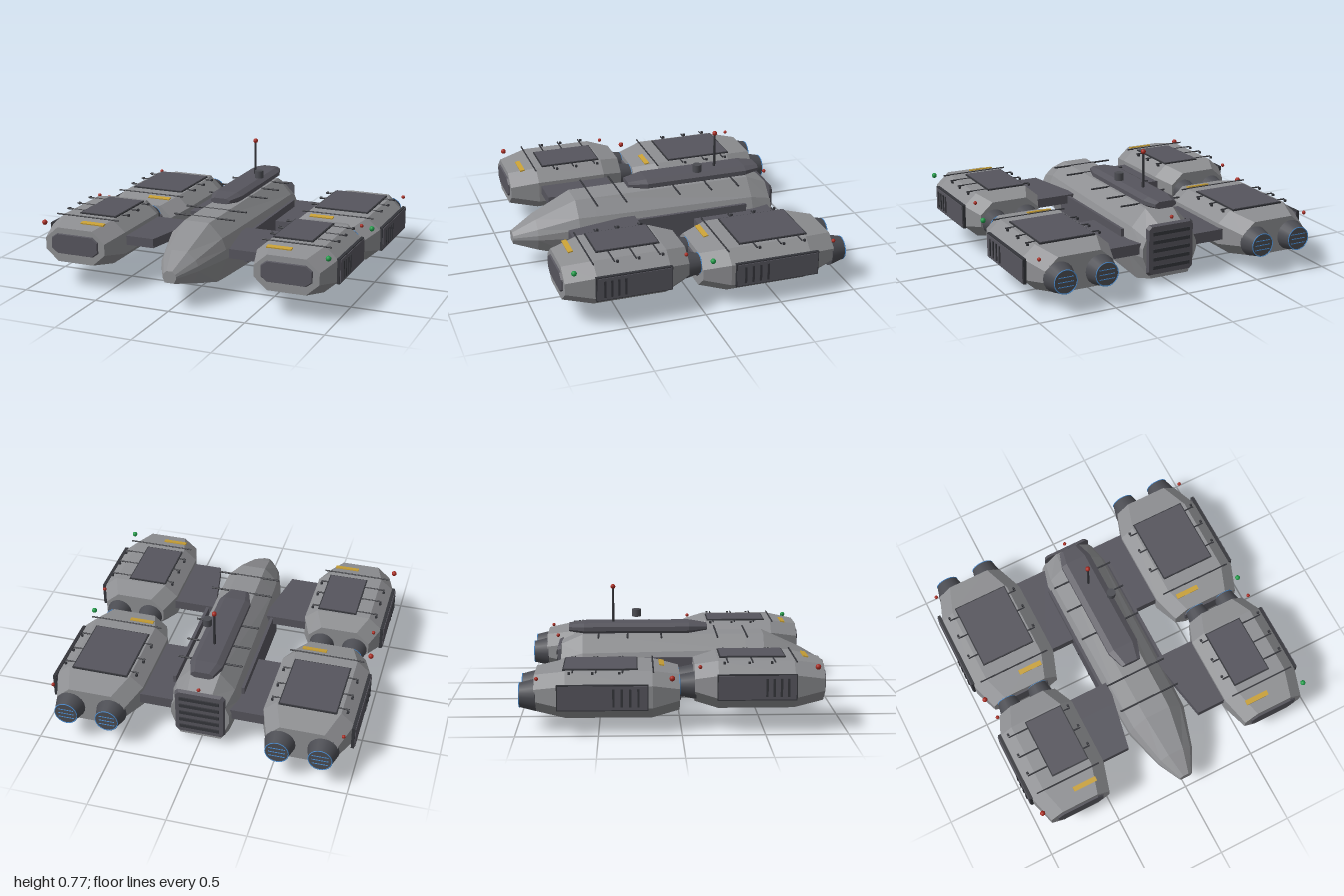
import * as THREE from 'three';

const mat = (name, color, extra = {}) => {
  const m = new THREE.MeshStandardMaterial({ color, ...extra });
  m.name = name;
  return m;
};

export function createModel() {
  const root = new THREE.Group();
  root.name = 'quadPodShip';
  const hull = mat('hullGrey', 0x8e8f92, { flatShading: true });
  const panel = mat('panelGrey', 0x56555d, { flatShading: true });
  const dark = mat('darkMetal', 0x35363b);
  const nozzleMat = mat('nozzleGrey', 0x4b4c52);
  const yellow = mat('markingYellow', 0xc8a036);
  const red = mat('lampRed', 0xa82a20);
  const green = mat('lampGreen', 0x1f9a48);
  const blue = mat('glowBlue', 0x4a90d8);

  const add = (parent, name, geo, material, x = 0, y = 0, z = 0) => {
    const m = new THREE.Mesh(geo, material);
    m.name = name;
    m.position.set(x, y, z);
    parent.add(m);
    return m;
  };
  const box = (p, name, material, w, h, d, x, y, z) =>
    add(p, name, new THREE.BoxGeometry(w, h, d), material, x, y, z);
  const rod = (p, name, len, x, y, z, r = 0.006) => {
    const m = add(p, name, new THREE.CylinderGeometry(r, r, len, 8), dark, x, y, z);
    m.rotation.z = Math.PI / 2;
    return m;
  };
  const lamp = (p, material, r, x, y, z) =>
    add(p, 'lamp', new THREE.SphereGeometry(r, 12, 8), material, x, y, z);

  // Faceted skin through cross-sections ordered from back (-z) to front (+z)
  const loft = (sections) => {
    const v = [];
    const put = (s, j) => v.push(...s.pts[j % s.pts.length], s.z);
    const n = sections[0].pts.length;
    for (let i = 0; i < sections.length - 1; i++) {
      const a = sections[i], b = sections[i + 1];
      for (let j = 0; j < n; j++) {
        put(a, j); put(a, j + 1); put(b, j + 1);
        put(a, j); put(b, j + 1); put(b, j);
      }
    }
    const first = sections[0], last = sections[sections.length - 1];
    for (let j = 1; j < n - 1; j++) {
      put(last, 0); put(last, j); put(last, j + 1);
      put(first, 0); put(first, j + 1); put(first, j);
    }
    const g = new THREE.BufferGeometry();
    g.setAttribute('position', new THREE.Float32BufferAttribute(v, 3));
    g.computeVertexNormals();
    return g;
  };
  // Right half listed from bottom to top, then mirrored
  const symmetric = (half) => [...half, ...half.slice().reverse().map(([x, y]) => [-x, y])];
  const octagon = (w, h, cx, cy, y = 0) => symmetric([
    [w - cx, y - h], [w, y - h + cy], [w, y + h - cy], [w - cx, y + h]]);

  // Central fuselage: z, half width, bottom y, top y
  const fuselage = new THREE.Group();
  fuselage.name = 'fuselage';
  root.add(fuselage);
  const stations = [
    [-0.765, 0.19, 0.04, 0.385], [-0.62, 0.22, 0.0, 0.45], [0.45, 0.205, 0.062, 0.45],
    [0.57, 0.2, 0.07, 0.45], [0.83, 0.125, 0.135, 0.335], [0.98, 0.045, 0.175, 0.25]];
  add(fuselage, 'fuselageHull', loft(stations.map(([z, w, b, t]) => {
    const h = t - b;
    return { z, pts: symmetric([[w * 0.7, b], [w, b + h * 0.42], [w, b + h * 0.58],
      [w * 0.86, b + h * 0.76], [w * 0.42, t]]) };
  })), hull);
  for (const z of [-0.515, -0.325, -0.105, 0.26, 0.455]) rod(fuselage, 'fuselageRib', 0.42, 0, 0.449, z);
  for (const s of [-1, 1]) {
    box(fuselage, 'sidePanel', panel, 0.02, 0.19, 0.87, s * 0.226, 0.225, -0.13);
    for (let i = 0; i < 5; i++)
      box(fuselage, 'panelStud', dark, 0.008, 0.012, 0.012, s * 0.237, 0.16, 0.2 - i * 0.16);
  }

  // Rear grille
  add(fuselage, 'rearGrille', loft([
    { z: -0.782, pts: octagon(0.155, 0.155, 0.02, 0.02, 0.225) },
    { z: -0.76, pts: octagon(0.165, 0.165, 0.02, 0.02, 0.225) }]), panel);
  for (let i = 0; i < 5; i++)
    box(fuselage, 'grilleBar', dark, 0.26, 0.022, 0.012, 0, 0.115 + i * 0.055, -0.785);
  lamp(fuselage, red, 0.012, 0, 0.43, -0.785);

  // Dorsal spine, mast and sensor
  add(fuselage, 'dorsalSpine', loft([[-0.71, 0.072, 0.022], [-0.61, 0.105, 0.034],
    [0.08, 0.105, 0.034], [0.2, 0.065, 0.018]].map(([z, w, h]) =>
    ({ z, pts: octagon(w, h, w * 0.35, h * 0.6, 0.487) }))), panel);
  add(fuselage, 'mast', new THREE.CylinderGeometry(0.007, 0.009, 0.25, 10), dark, 0, 0.63, -0.42);
  lamp(fuselage, red, 0.016, 0, 0.755, -0.42);
  add(fuselage, 'sensorDrum', new THREE.CylinderGeometry(0.029, 0.029, 0.05, 14), nozzleMat, 0.09, 0.565, -0.265);

  // Pylons joining the pods to the fuselage
  for (const s of [-1, 1]) {
    box(root, 'rearPylon', panel, 0.26, 0.07, 0.54, s * 0.31, 0.235, -0.465);
    const slab = (inner) => {
      const a = Math.min(s * inner, s * 0.48), b = Math.max(s * inner, s * 0.48);
      return [[a, 0.27], [b, 0.27], [b, 0.33], [a, 0.33]];
    };
    add(root, 'frontPylon', loft([{ z: 0.2, pts: slab(0.17) }, { z: 0.35, pts: slab(0.2) },
      { z: 0.665, pts: slab(0.26) }]), panel);
  }

  // Engine pods; z lists back end, back shoulder, front shoulder, front end
  const kinds = [
    { name: 'frontPod', x: 0.71, w: 0.26, y: 0.285, h: 0.145, z: [0.08, 0.22, 0.68, 0.865],
      plate: [0.665, 0.245, 0.24, 0.63], side: [0.21, 0.69], ribs: [0.275, 0.425, 0.56, 0.69],
      nozzle: [0.11, 0.085, 0.065, 0.268], mark: [0.63, 0.77], lampZ: [0.815, 0.11], lampY: 0.403 },
    { name: 'rearPod', x: 0.683, w: 0.288, y: 0.228, h: 0.143, z: [-0.89, -0.7, -0.175, -0.01],
      plate: [0.677, 0.355, -0.71, -0.27], side: [-0.75, -0.2], ribs: [-0.655, -0.515, -0.355, -0.17],
      nozzle: [0.135, 0.1, 0.074, 0.215], mark: [0.592, -0.115], lampZ: [-0.058, -0.868], lampY: 0.338 }];

  for (const k of kinds) for (const s of [-1, 1]) {
    const pod = new THREE.Group();
    pod.name = k.name;
    root.add(pod);
    const cx = s * k.x, top = k.y + k.h;
    const scale = [[0.78, 0.78], [1, 1], [1, 1], [0.8, 0.77]];
    add(pod, 'podHull', loft(k.z.map((z, i) => ({ z,
      pts: octagon(k.w * scale[i][0], k.h * scale[i][1], 0.085, 0.075) }))), hull, cx, k.y, 0);

    // Front intake cover
    add(pod, 'intakeCover', loft([{ z: 0, pts: octagon(0.165, 0.066, 0.04, 0.03) },
      { z: 0.01, pts: octagon(0.16, 0.062, 0.04, 0.03) }]), panel, cx, k.y + 0.008, k.z[3]);

    // Top hatch, ribs and yellow marking
    const [px, pw, z0, z1] = k.plate;
    box(pod, 'hatchFrame', dark, pw + 0.014, 0.01, z1 - z0 + 0.014, s * px, top + 0.003, (z0 + z1) / 2);
    box(pod, 'topHatch', panel, pw, 0.014, z1 - z0, s * px, top + 0.004, (z0 + z1) / 2);
    k.ribs.forEach((z, i) => {
      rod(pod, 'podRib', k.w * 1.7, cx, top, z, 0.005);
      if (i < 3) for (const e of [-1, 1])
        box(pod, 'ribClip', dark, 0.014, 0.014, 0.014, cx + e * k.w * 0.83, top - 0.005, z - 0.02);
    });
    const slope = Math.atan2(k.h * 0.23, k.z[3] - k.z[2]);
    const markY = top - (k.mark[1] - k.z[2]) * Math.tan(slope);
    box(pod, 'yellowMarking', yellow, 0.16, 0.009, 0.032, s * k.mark[0], markY + 0.003, k.mark[1])
      .rotation.x = slope;

    // Outer side panel with slats
    const [s0, s1] = k.side, len = s1 - s0, sx = cx + s * k.w;
    box(pod, 'sideFrame', dark, 0.02, 0.158, len, sx + s * 0.004, k.y, (s0 + s1) / 2);
    box(pod, 'sideCover', panel, 0.026, 0.144, len - 0.014, sx + s * 0.006, k.y, (s0 + s1) / 2);
    for (let i = 0; i < 4; i++)
      box(pod, 'sideSlat', dark, 0.01, 0.11, 0.014, sx + s * 0.02, k.y, s0 + len * (0.62 + i * 0.09));

    // Engine nozzles with a blue glowing rim
    const [dx, r0, r1, ny] = k.nozzle;
    for (const e of [-1, 1]) {
      const nx = cx + e * dx;
      const n = add(pod, 'nozzle', new THREE.CylinderGeometry(r0, r1, 0.1, 20), nozzleMat, nx, ny, k.z[0] - 0.04);
      n.rotation.x = Math.PI / 2;
      add(pod, 'glowRim', new THREE.TorusGeometry(r1, 0.003, 6, 24), blue, nx, ny, k.z[0] - 0.09);
      for (let i = -1; i <= 1; i++)
        box(pod, 'glowStripe', blue, r1 * 1.4, 0.005, 0.004, nx, ny + i * r1 * 0.4, k.z[0] - 0.09);
    }

    // Navigation lamps
    lamp(pod, s > 0 ? green : red, 0.017, s * 0.953, k.lampY, k.lampZ[0]);
    lamp(pod, red, 0.012, s * 0.935, k.lampY, k.lampZ[1]);
  }
  return root;
}
